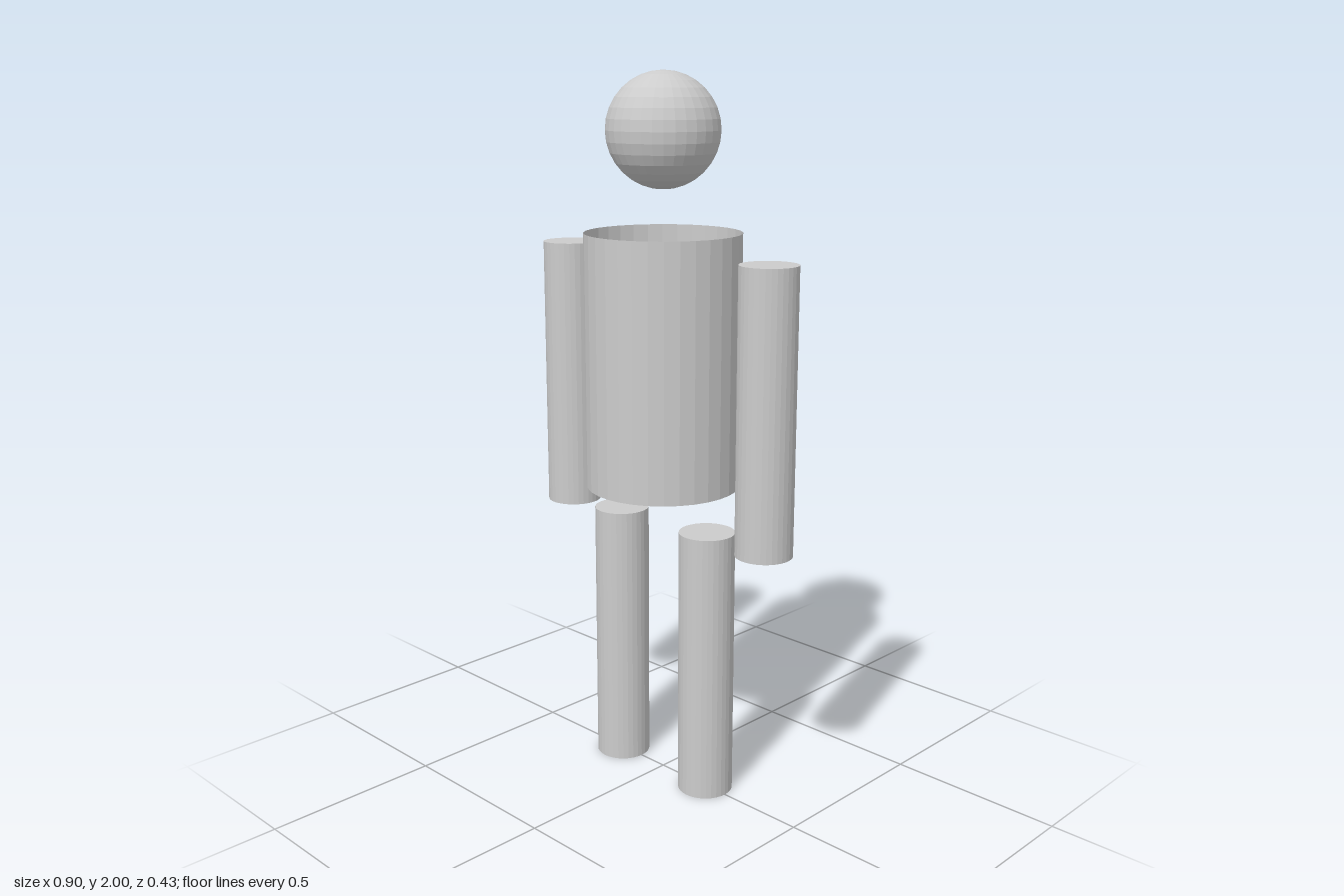
import * as THREE from 'three';

const SEGMENTS = 32;

export function createModel() {
  const group = new THREE.Group();
  const solid = new THREE.MeshStandardMaterial({ color: 0xcccccc, flatShading: true });
  const shell = new THREE.MeshStandardMaterial({ color: 0xcccccc, flatShading: true, side: THREE.DoubleSide });

  const add = (name, geometry, material, x, y) => {
    const mesh = new THREE.Mesh(geometry, material);
    mesh.name = name;
    mesh.position.set(x, y, 0);
    group.add(mesh);
  };

  // Head floating above the torso
  add('head', new THREE.SphereGeometry(0.154, SEGMENTS, 16), solid, 0, 1.846);

  // Torso: a tube open at both ends
  add('torso', new THREE.CylinderGeometry(0.215, 0.215, 0.703, SEGMENTS, 1, true), shell, 0, 1.226);

  // Arms and legs: matching capped cylinders, mirrored left and right
  const limb = new THREE.CylinderGeometry(0.078, 0.078, 0.771, SEGMENTS);
  for (const [side, sign] of [['left', 1], ['right', -1]]) {
    add(`${side}Arm`, limb, solid, sign * 0.374, 1.14);
    add(`${side}Leg`, limb, solid, sign * 0.169, 0.3855);
  }

  return group;
}
